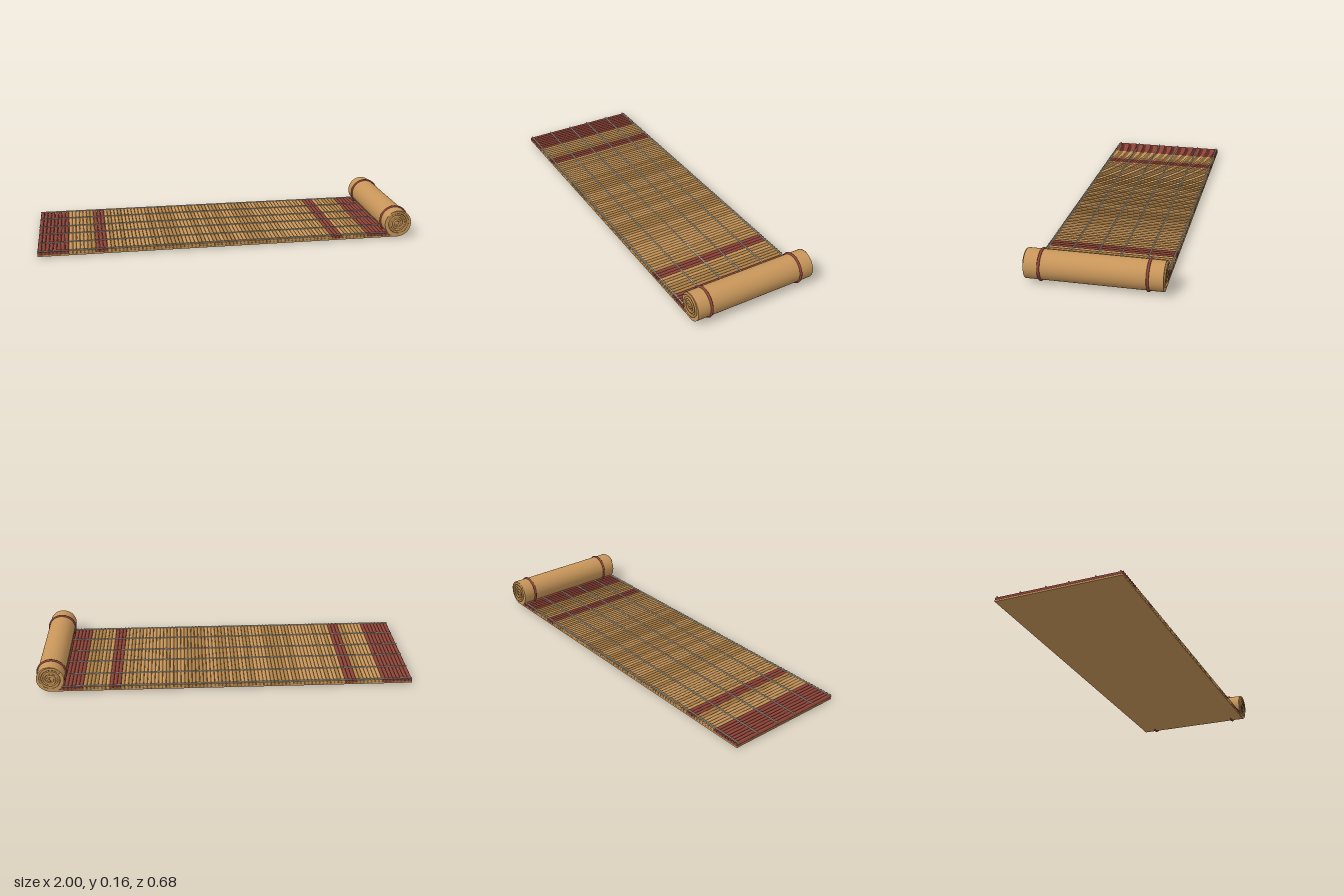
import * as THREE from 'three';
import { mergeGeometries } from 'three/addons/utils/BufferGeometryUtils.js';

export function createModel() {
  const model = new THREE.Group();
  model.name = 'rolledSlatMat';

  const paint = (name, color) => {
    const m = new THREE.MeshStandardMaterial({ color });
    m.name = name;
    return m;
  };
  const bamboo = paint('bamboo', 0xc8965a);
  const darkBamboo = paint('darkBamboo', 0xb08248);
  const red = paint('redBrown', 0x8f4438);
  const threadGrey = paint('paleThread', 0xc6c8bc);

  const add = (name, geometry, material, x = 0, y = 0, z = 0) => {
    const mesh = new THREE.Mesh(geometry, material);
    mesh.name = name;
    mesh.position.set(x, y, z);
    model.add(mesh);
    return mesh;
  };

  const left = -1, right = 0.912, length = right - left, halfWidth = 0.33;
  const midX = (left + right) / 2;

  // Flat backing under the slats
  add('backing', new THREE.BoxGeometry(length, 0.008, halfWidth * 2), bamboo, midX, 0.01, 0);

  // Round slats, with red bands mirrored at both ends
  const count = 96, pitch = length / count;
  const slats = { bamboo: [], dark: [], red: [] };
  let seed = 7;
  const random = () => (seed = (seed * 16807) % 2147483647) / 2147483647;
  for (let i = 0; i < count; i++) {
    const x = left + (i + 0.5) * pitch;
    const fromEnd = Math.min(i, count - 1 - i);
    const isRed = fromEnd < 8 || (fromEnd >= 15 && fromEnd < 18);
    const slat = new THREE.CylinderGeometry(pitch / 2, pitch / 2, halfWidth * 2, 10);
    slat.rotateX(Math.PI / 2).translate(x, 0.0215, 0);
    const tone = random() < 0.5 ? 'dark' : 'bamboo';
    slats[isRed ? 'red' : tone].push(slat);
  }
  add('lightSlats', mergeGeometries(slats.bamboo), bamboo);
  add('darkSlats', mergeGeometries(slats.dark), darkBamboo);
  add('redSlats', mergeGeometries(slats.red), red);

  // Binding threads along the mat
  for (const z of [0.06, 0.195, 0.32]) {
    for (const side of [-1, 1]) {
      const thread = new THREE.CylinderGeometry(0.0035, 0.0035, length, 8);
      thread.rotateZ(Math.PI / 2);
      add('thread', thread, threadGrey, midX, 0.031, z * side);
    }
  }

  // Rolled-up end
  const rollX = 0.919, rollY = 0.08, rollRadius = 0.073;
  const roll = new THREE.CylinderGeometry(rollRadius, rollRadius, 0.664, 48);
  roll.rotateX(Math.PI / 2);
  add('roll', roll, bamboo, rollX, rollY, 0);

  // Spiral edge of the layers on both ends of the roll
  const turns = 2.75, endAngle = Math.PI * 0.8;
  const points = [];
  for (let i = 0; i <= 66; i++) {
    const t = i / 66;
    const angle = endAngle - (1 - t) * turns * Math.PI * 2;
    const r = 0.005 + 0.058 * t;
    points.push(new THREE.Vector3(Math.cos(angle) * r, Math.sin(angle) * r, 0));
  }
  const spiral = new THREE.TubeGeometry(new THREE.CatmullRomCurve3(points), 160, 0.0065, 8);
  for (const side of [-1, 1]) {
    add('spiralEnd', spiral, darkBamboo, rollX - 0.003, rollY + 0.003, side * 0.3335);
    // Tie around the roll
    add('tie', new THREE.TorusGeometry(0.0735, 0.0068, 10, 48), red, rollX, rollY, side * 0.258);
  }

  return model;
}
